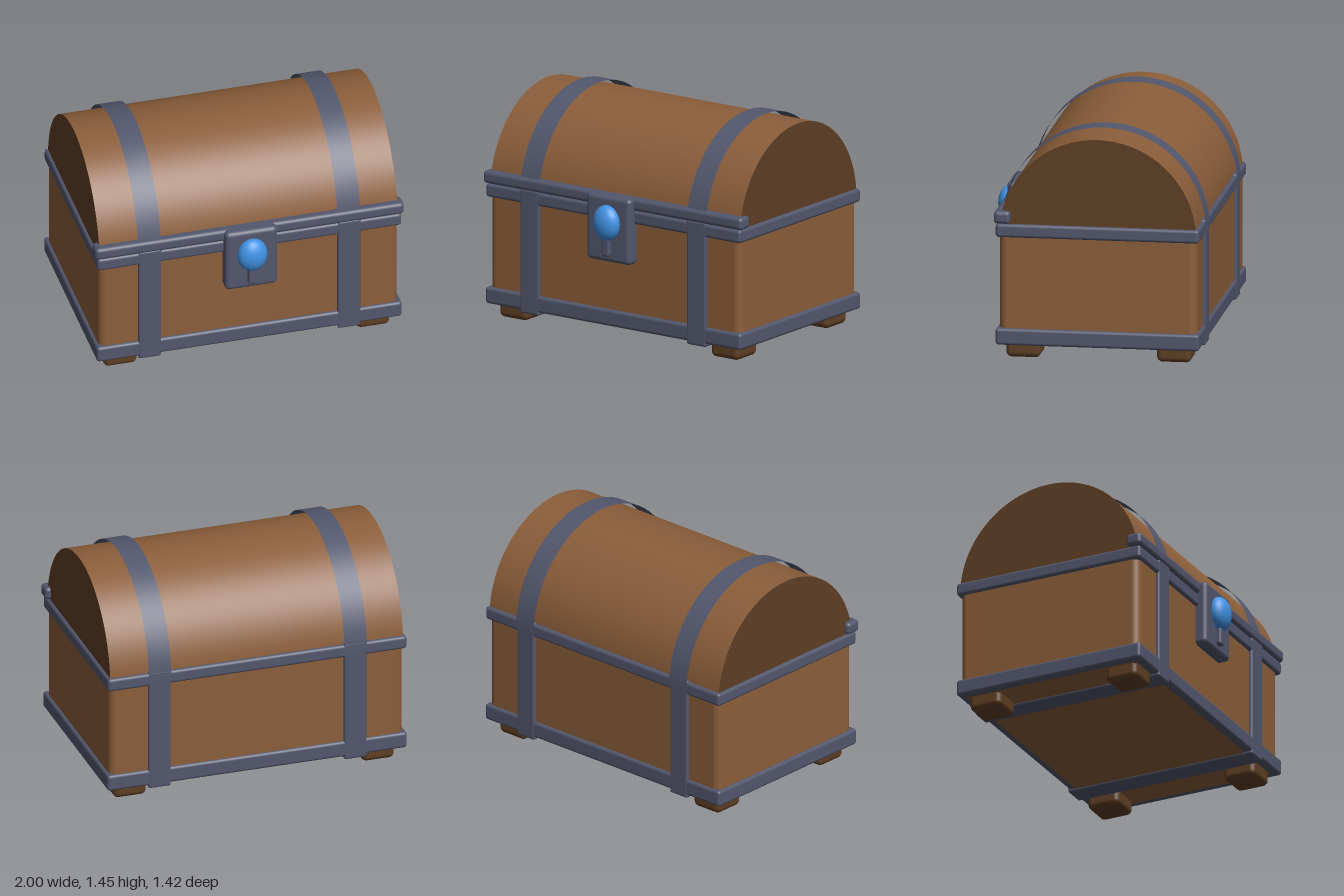
import * as THREE from 'three';
import { RoundedBoxGeometry } from 'three/addons/geometries/RoundedBoxGeometry.js';

const material = (name, color, side = THREE.FrontSide) => {
  const m = new THREE.MeshStandardMaterial({ color, side });
  m.name = name;
  return m;
};

export function createModel() {
  const chest = new THREE.Group();
  chest.name = 'treasureChest';

  const wood = material('wood', 0x8b5e3a);
  const darkWood = material('darkWood', 0x5f3f24);
  const metal = material('metal', 0x53576d, THREE.DoubleSide);
  const blue = material('blueGem', 0x4092e4);

  const add = (name, geometry, mat) => {
    const mesh = new THREE.Mesh(geometry, mat);
    mesh.name = name;
    chest.add(mesh);
    return mesh;
  };

  // Rounded box given by its extents on each axis
  const box = (name, mat, [x0, x1], [y0, y1], [z0, z1], radius) => {
    const g = new RoundedBoxGeometry(x1 - x0, y1 - y0, z1 - z0, 4, radius);
    g.translate((x0 + x1) / 2, (y0 + y1) / 2, (z0 + z1) / 2);
    return add(name, g, mat);
  };

  const midZ = -0.0635, lidY = 0.8;

  // Half cylinder lying along x, domed upwards
  const dome = (radius, width, x, open) => {
    const g = new THREE.CylinderGeometry(radius, radius, width, 48, 1, open, 0, Math.PI);
    return g.rotateZ(Math.PI / 2).translate(x, lidY, midZ);
  };

  // Wooden body and domed lid with darker ends
  box('body', wood, [-0.968, 0.968], [0.086, 0.85], [-0.688, 0.561], 0.05);
  add('lid', dome(0.622, 1.93, 0, false), [wood, darkWood, darkWood]);

  // Metal rims around the body, and the bar on the lid's front edge
  box('bottomRim', metal, [-0.988, 0.988], [0.09, 0.197], [-0.705, 0.582], 0.02);
  box('topRim', metal, [-0.985, 0.985], [0.78, 0.866], [-0.705, 0.582], 0.02);
  box('lidBar', metal, [-1, 1], [0.868, 0.949], [0.488, 0.592], 0.025);

  for (const side of [-1, 1]) {
    // Straps around the body and over the lid
    const x = side * 0.645;
    box('bodyStrap', metal, [x - 0.074, x + 0.074], [0.07, 0.876], [-0.708, 0.584], 0.015);
    add('lidStrap', dome(0.647, 0.148, x, true), metal);

    // Feet
    for (const z of [0.416, -0.537]) {
      const f = side * 0.818;
      box('foot', darkWood, [f - 0.108, f + 0.108], [0, 0.14], [z - 0.109, z + 0.109], 0.035);
    }
  }

  // Lock plate with gem and tab
  box('lockPlate', metal, [-0.17, 0.17], [0.52, 0.948], [0.53, 0.635], 0.03);
  box('lockTab', metal, [-0.028, 0.028], [0.562, 0.72], [0.6, 0.665], 0.015);
  const gem = add('gem', new THREE.SphereGeometry(1, 32, 20), blue);
  gem.scale.set(0.096, 0.114, 0.07);
  gem.position.set(0, 0.778, 0.643);

  return chest;
}
